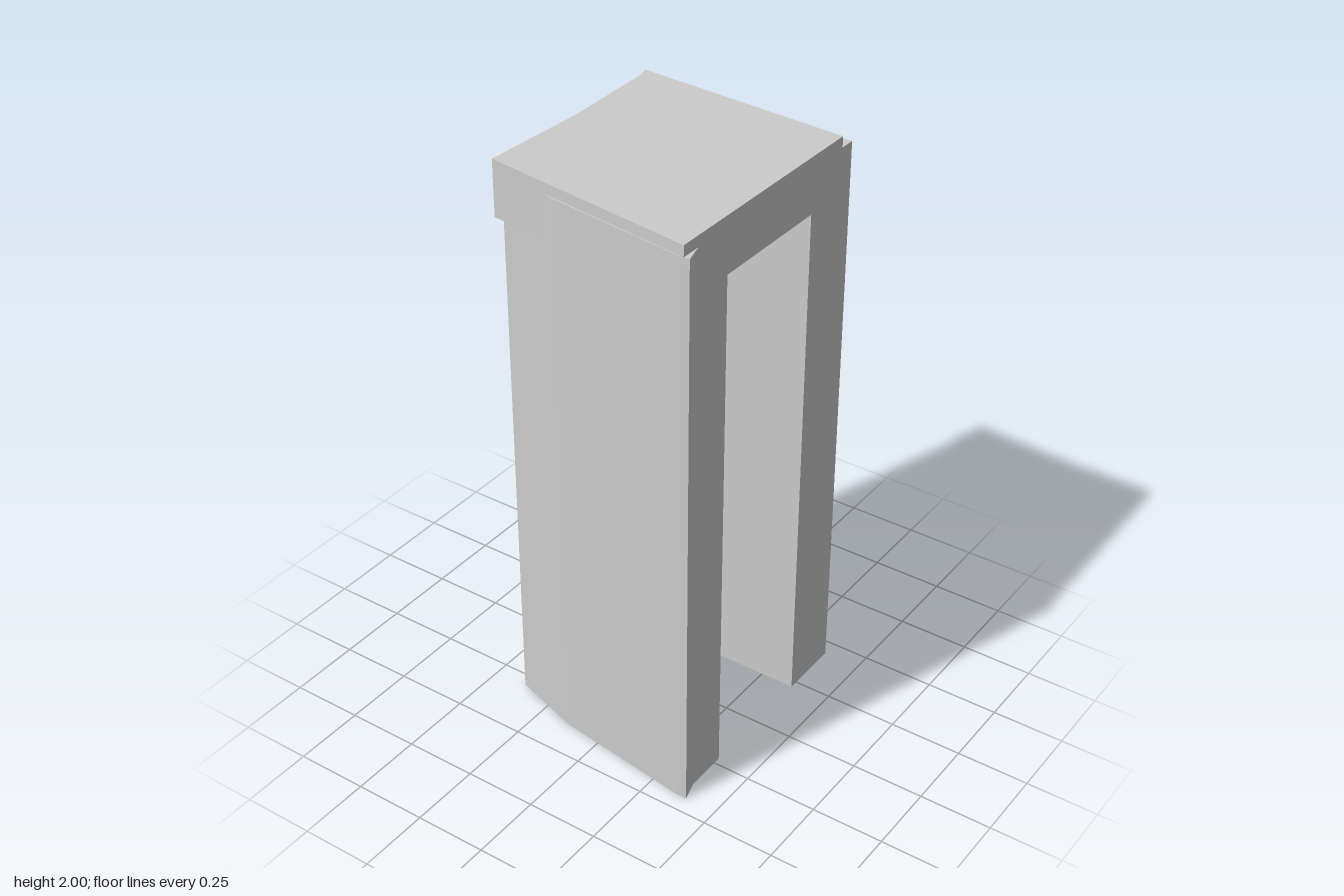
import * as THREE from 'three';

const material = new THREE.MeshStandardMaterial({ color: 0xcccccc, flatShading: true });

// Raise a footprint of [x, z] corners into a vertical block between two heights
function block(name, footprint, bottom, top) {
  const shape = new THREE.Shape(footprint.map(([x, z]) => new THREE.Vector2(x, -z)));
  const geometry = new THREE.ExtrudeGeometry(shape, { depth: top - bottom, bevelEnabled: false });
  geometry.rotateX(-Math.PI / 2);
  geometry.translate(0, bottom, 0);
  const mesh = new THREE.Mesh(geometry, material);
  mesh.name = name;
  return mesh;
}

export function createModel() {
  const group = new THREE.Group();
  group.name = 'gateway';

  // Straight pillar on the +x side
  group.add(block('leftPillar', [
    [0.22, 0.37], [0.44, 0.37], [0.44, -0.378], [0.22, -0.372],
  ], 0, 1.963));

  // Irregular pillar on the -x side, tapering towards the back
  group.add(block('rightPillar', [
    [-0.225, 0.37], [-0.225, -0.378], [-0.295, -0.38], [-0.372, -0.14],
    [-0.442, 0.35], [-0.442, 0.39], [-0.4, 0.378], [-0.37, 0.37],
  ], 0, 1.963));

  // Skewed lintel resting over both pillars
  group.add(block('lintel', [
    [-0.442, 0.37], [0.385, 0.37], [0.44, -0.39], [0.4, -0.378],
    [0.05, -0.367], [-0.33, -0.385],
  ], 1.81, 2));

  return group;
}
